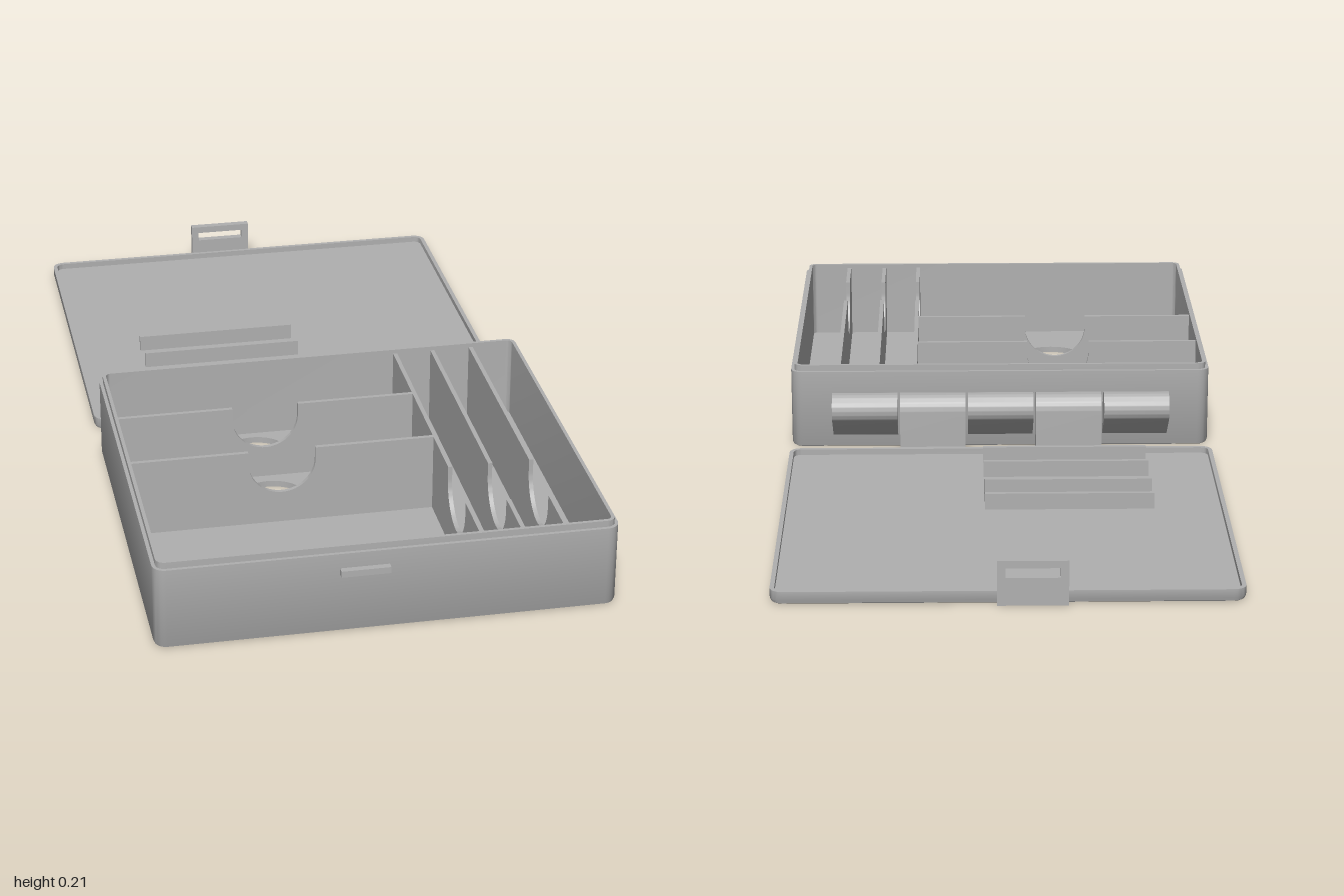
import * as THREE from 'three';
import { toCreasedNormals } from 'three/addons/utils/BufferGeometryUtils.js';

const plastic = new THREE.MeshStandardMaterial({ color: 0xb0b0b0 });
plastic.name = 'grey plastic';

function part(parent, name, geometry, x = 0, y = 0, z = 0) {
  const mesh = new THREE.Mesh(geometry, plastic);
  mesh.name = name;
  mesh.position.set(x, y, z);
  parent.add(mesh);
  return mesh;
}

const extrude = (shape, depth) =>
  toCreasedNormals(new THREE.ExtrudeGeometry(shape, { depth, bevelEnabled: false, curveSegments: 20 }), 0.6);

// Rounded rectangle as points [x, up-the-page], counter-clockwise
function outline(hx, hz, radius, inset) {
  const r = Math.max(radius - inset, 0.002), pts = [];
  [[1, 1], [-1, 1], [-1, -1], [1, -1]].forEach(([sx, sy], corner) => {
    for (let k = 0; k <= 6; k++) {
      const a = (corner + k / 6) * Math.PI / 2;
      pts.push(new THREE.Vector2(
        sx * (hx - inset - r) + r * Math.cos(a),
        sy * (hz - inset - r) + r * Math.sin(a)));
    }
  });
  return pts;
}

// Sweep an [inset, height] profile around a rounded rectangle
function rimGeometry(hx, hz, radius, profile) {
  const positions = [], index = [];
  const n = 28;
  for (const [inset, y] of profile)
    for (const p of outline(hx, hz, radius, inset)) positions.push(p.x, y, -p.y);
  for (let i = 0; i < profile.length - 1; i++)
    for (let j = 0; j < n; j++) {
      const a = i * n + j, b = i * n + (j + 1) % n;
      index.push(a, b, b + n, a, b + n, a + n);
    }
  const g = new THREE.BufferGeometry();
  g.setAttribute('position', new THREE.Float32BufferAttribute(positions, 3));
  g.setIndex(index);
  return toCreasedNormals(g, 0.6);
}

// Flat plate lying on the ground, with round holes [x, z, radius]
function plateGeometry(hx, hz, radius, inset, thickness, holes = []) {
  const shape = new THREE.Shape(outline(hx, hz, radius, inset));
  for (const [x, z, r] of holes) {
    const hole = new THREE.Path();
    hole.absarc(x, -z, r, 0, Math.PI * 2, true);
    shape.holes.push(hole);
  }
  return extrude(shape, thickness).rotateX(-Math.PI / 2);
}

// Upright divider from a to b with a U-shaped finger notch at c
function dividerGeometry(a, b, c, r, bottom, top) {
  const s = new THREE.Shape();
  s.moveTo(a, bottom);
  s.lineTo(b, bottom);
  s.lineTo(b, top);
  s.lineTo(c + r, top);
  s.absarc(c, top - 0.03, r, 0, Math.PI, true);
  s.lineTo(c - r, top);
  s.lineTo(a, top);
  s.closePath();
  return extrude(s, 0.01);
}

// Floor ramp rising from z0 to z1, cut by the push-out hole at holeZ
function rampGeometry(z0, z1, holeZ, r, slope) {
  const a = Math.asin((z0 - holeZ) / r);
  const s = new THREE.Shape();
  s.moveTo(-0.502, -z0);
  s.lineTo(-0.502, -z1);
  s.lineTo(0.206, -z1);
  s.lineTo(0.206, -z0);
  s.absarc(-0.15, -holeZ, r, -a, a - Math.PI, true);
  s.closePath();
  const g = new THREE.ExtrudeGeometry(s, { depth: 1, bevelEnabled: false, curveSegments: 20 });
  g.rotateX(-Math.PI / 2);
  const p = g.attributes.position;
  for (let i = 0; i < p.count; i++)
    p.setY(i, p.getY(i) > 0.5 ? 0.0155 + (p.getZ(i) - z0) * slope : 0.012);
  return toCreasedNormals(g, 0.6);
}

function createBase() {
  const base = new THREE.Group();
  base.name = 'base';
  const hx = 0.516, hz = 0.4675, cz = 0.5175;
  const holes = [[-0.15, 0.165, 0.078], [-0.15, 0.39, 0.078], [-0.15, 0.74, 0.085]];

  // Shell with rounded bottom edge and stepped lip
  part(base, 'baseWalls', rimGeometry(hx, hz, 0.028, [
    [0.008, 0], [0.003, 0.003], [0, 0.01], [0, 0.195],
    [0.008, 0.195], [0.008, 0.21], [0.016, 0.21], [0.016, 0.012],
  ]), 0, 0, cz);
  part(base, 'baseFloor', plateGeometry(hx, hz, 0.028, 0.008, 0.015,
    holes.map(([x, z, r]) => [x, z - cz, r])), 0, 0, cz);

  // Cross dividers and ramps of the two small compartments
  for (const z of [0.275, 0.497])
    part(base, 'crossDivider', dividerGeometry(-0.502, 0.206, -0.15, 0.078, 0.012, 0.2), 0, 0, z);
  part(base, 'ramp', rampGeometry(0.2, 0.276, 0.165, 0.078, 0.7));
  part(base, 'ramp', rampGeometry(0.425, 0.498, 0.39, 0.078, 0.7));

  // Long dividers of the narrow slots
  for (const x of [0.215, 0.308, 0.404])
    part(base, 'longDivider',
      dividerGeometry(0.064, 0.971, 0.74, 0.085, 0.012, 0.2).rotateY(-Math.PI / 2), x);

  // Catch on the front wall
  part(base, 'catch', new THREE.BoxGeometry(0.11, 0.015, 0.017), -0.055, 0.152, 0.9915);
  return base;
}

function createLid() {
  const lid = new THREE.Group();
  lid.name = 'lid';
  const hx = 0.516, hz = 0.469, cz = -0.514;
  part(lid, 'lidRim', rimGeometry(hx, hz, 0.028, [
    [0.008, 0], [0.003, 0.003], [0, 0.01], [0, 0.03], [0.01, 0.03], [0.01, 0.012],
  ]), 0, 0, cz);
  part(lid, 'lidPlate', plateGeometry(hx, hz, 0.028, 0.008, 0.016), 0, 0, cz);

  // Holding ridges
  for (const z of [-0.44, -0.343, -0.216, -0.113])
    part(lid, 'ridge', new THREE.BoxGeometry(0.395, 0.045, 0.011), -0.153, 0.0325, z);

  // Slotted latch tab
  const tab = new THREE.Shape([[-0.13, 0.002], [0.025, 0.002], [0.025, 0.105], [-0.13, 0.105]]
    .map(p => new THREE.Vector2(...p)));
  tab.holes.push(new THREE.Path([[-0.112, 0.066], [-0.112, 0.088], [0.007, 0.088], [0.007, 0.066]]
    .map(p => new THREE.Vector2(...p))));
  part(lid, 'latchTab', extrude(tab, 0.018), 0, 0, -1);
  return lid;
}

// Five knuckles, alternately joined to the base and to the lid
function createHinge() {
  const hinge = new THREE.Group();
  hinge.name = 'hinge';
  const r = 0.037, axis = 0.118;

  const baseSide = new THREE.Shape();
  baseSide.moveTo(0.052, 0.03);
  baseSide.lineTo(0.052, axis);
  baseSide.lineTo(r, axis);
  baseSide.absarc(0, axis, r, 0, Math.PI * 1.25, false);
  baseSide.closePath();

  const lidSide = new THREE.Shape();
  lidSide.moveTo(-0.05, 0);
  lidSide.lineTo(r, 0);
  lidSide.lineTo(r, axis);
  lidSide.absarc(0, axis, r, 0, Math.PI, false);
  lidSide.lineTo(-r, 0.029);
  lidSide.lineTo(-0.05, 0.029);
  lidSide.closePath();

  for (let i = 0; i < 5; i++)
    part(hinge, i % 2 ? 'lidKnuckle' : 'baseKnuckle',
      extrude(i % 2 ? lidSide : baseSide, 0.16).rotateY(-Math.PI / 2), -0.253 + i * 0.1665);
  return hinge;
}

export function createModel() {
  const model = new THREE.Group();
  model.name = 'hingedBox';
  model.add(createBase(), createLid(), createHinge());
  return model;
}
